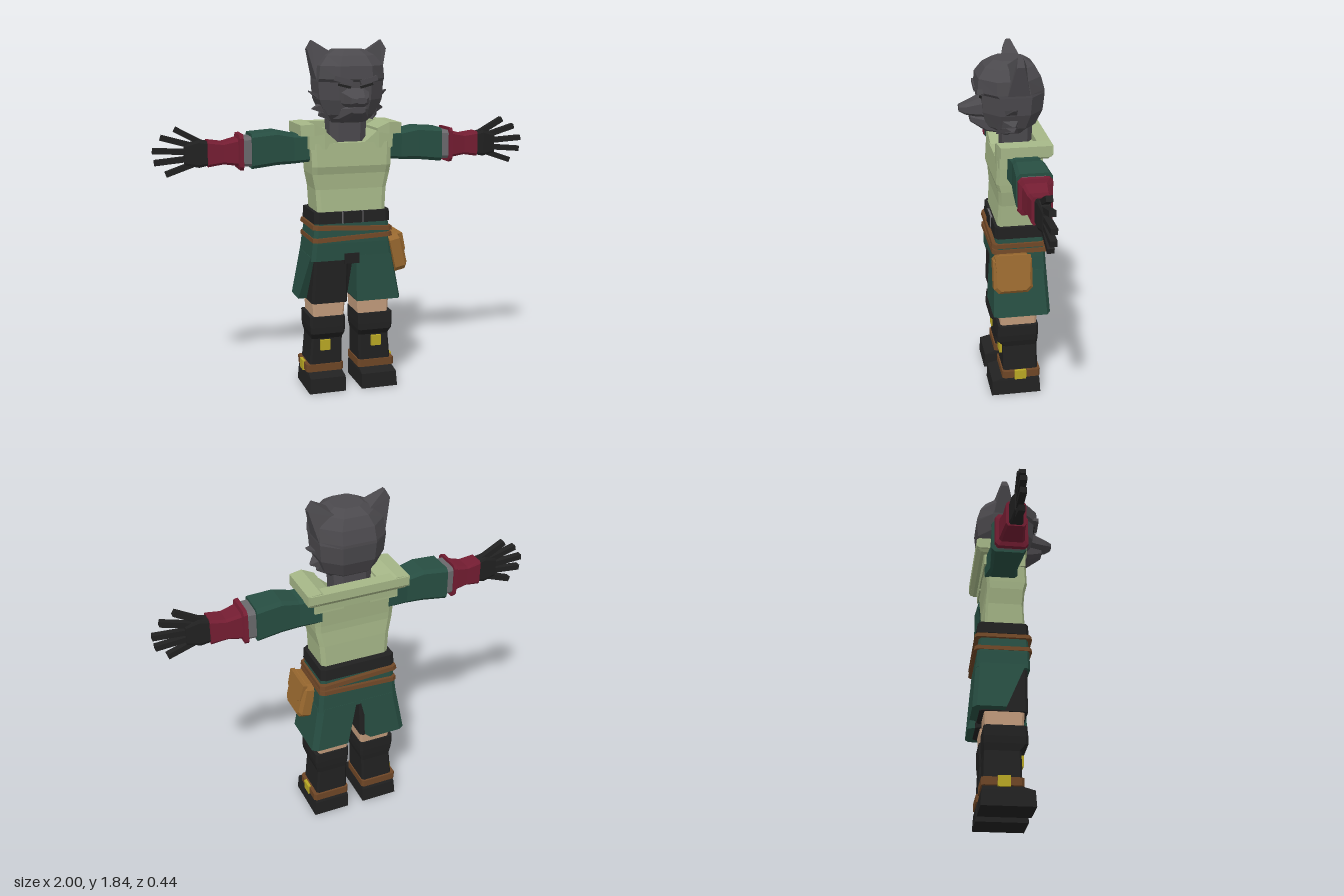
import * as THREE from 'three';

const mat = (name, color) => {
  const m = new THREE.MeshStandardMaterial({ color });
  m.name = name;
  return m;
};

export function createModel() {
  const fur = mat('charcoal fur', 0x4b494d), black = mat('black leather', 0x212121);
  const skin = mat('skin', 0xc49d7d), shirt = mat('pale green cloth', 0xa5b687);
  const green = mat('dark green cloth', 0x274e42), red = mat('maroon leather', 0x741d32);
  const brown = mat('brown strap', 0x6e4626), tan = mat('tan leather', 0x98682f);
  const gold = mat('gold', 0xb9a824), grey = mat('grey cloth', 0x6a696c);
  const root = new THREE.Group();

  const group = (name, parent = root) => {
    const g = new THREE.Group();
    g.name = name;
    parent.add(g);
    return g;
  };

  // Flat-faced skin over matching cross-sections, both ends closed; s = -1 mirrors in x
  function skinOver(name, material, sections, s = 1, parent = root) {
    const tris = [], n = sections[0].length;
    sections.forEach((a, k) => {
      const b = sections[k + 1];
      if (b) for (let i = 0; i < n; i++) {
        const j = (i + 1) % n;
        tris.push([a[i], a[j], b[j]], [a[i], b[j], b[i]]);
      }
    });
    const first = sections[0], last = sections[sections.length - 1];
    for (let i = 1; i < n - 1; i++) {
      tris.push([first[0], first[i + 1], first[i]], [last[0], last[i], last[i + 1]]);
    }
    // Outward winding follows from the sign of the enclosed volume
    const v = tris.map(t => t.map(p => new THREE.Vector3(p[0] * s, p[1], p[2])));
    const o = v[0][0].clone();
    const vol = v.reduce((sum, [a, b, c]) => sum + a.clone().sub(o).dot(b.clone().sub(o).cross(c.clone().sub(o))), 0);
    if (vol < 0) v.forEach(t => t.reverse());
    const geo = new THREE.BufferGeometry().setFromPoints(v.flat());
    geo.computeVertexNormals();
    const mesh = new THREE.Mesh(geo, material);
    mesh.name = name;
    parent.add(mesh);
    return mesh;
  }

  // Rows [t, u0, u1, v0, v1] along an axis, with corners cut by fraction c
  const place = {
    x: (t, u, v) => [t, u, v], // u = y, v = z
    y: (t, u, v) => [u, t, v], // u = x, v = z
    z: (t, u, v) => [u, v, t], // u = x, v = y
  };
  function loft(name, material, axis, rows, { c = 0, s = 1, parent = root } = {}) {
    const sections = rows.map(([t, u0, u1, v0, v1]) => {
      const du = (u1 - u0) / 2 * c, dv = (v1 - v0) / 2 * c;
      const pts = c
        ? [[u0 + du, v0], [u1 - du, v0], [u1, v0 + dv], [u1, v1 - dv], [u1 - du, v1], [u0 + du, v1], [u0, v1 - dv], [u0, v0 + dv]]
        : [[u0, v0], [u1, v0], [u1, v1], [u0, v1]];
      return pts.map(([u, v]) => place[axis](t, u, v));
    });
    return skinOver(name, material, sections, s, parent);
  }
  const block = (name, material, x0, x1, y0, y1, z0, z1, s = 1, parent = root) =>
    loft(name, material, 'y', [[y0, x0, x1, z0, z1], [y1, x0, x1, z0, z1]], { s, parent });

  // Head
  const head = group('head');
  loft('skull', fur, 'y', [
    [1.42, -.09, .09, -.10, .03], [1.465, -.135, .135, -.155, .09], [1.54, -.165, .165, -.188, .11],
    [1.63, -.172, .172, -.197, .115], [1.645, -.172, .172, -.196, .135], [1.71, -.165, .165, -.178, .13],
    [1.76, -.125, .125, -.15, .095], [1.79, -.075, .075, -.105, .05]], { c: .5, parent: head });
  loft('muzzle', fur, 'z', [[.06, -.095, .095, 1.5, 1.62], [.13, -.065, .065, 1.505, 1.595],
    [.19, -.045, .045, 1.515, 1.57], [.22, -.025, .025, 1.53, 1.56]], { c: .45, parent: head });
  loft('lowerJaw', fur, 'z', [[.0, -.1, .1, 1.42, 1.5], [.09, -.075, .075, 1.432, 1.51],
    [.165, -.035, .035, 1.478, 1.51]], { c: .4, parent: head });
  loft('neck', fur, 'y', [[1.3, -.095, .095, -.14, .01], [1.46, -.1, .1, -.14, .01]], { c: .4, parent: head });
  for (const s of [1, -1]) {
    skinOver('ear', fur, [
      [[.172, 1.64, 0], [.075, 1.765, 0], [.075, 1.755, -.11], [.172, 1.64, -.11]],
      [[.21, 1.79, -.035], [.185, 1.835, -.045], [.185, 1.835, -.07], [.21, 1.79, -.075]]], s, head);
    const eye = block('eye', black, -.034, .034, -.006, .006, -.003, .003, 1, head);
    eye.position.set(s * .058, 1.612, .117);
    eye.rotation.z = s * .25;
    const brow = block('brow', fur, -.045, .045, -.012, .012, -.02, .015, 1, head);
    brow.position.set(s * .065, 1.64, .125);
    brow.rotation.z = s * .25;
    // Cheek fur
    for (const [y, tx, ty] of [[1.53, .207, 1.58], [1.49, .188, 1.49], [1.465, .155, 1.455]]) {
      skinOver('cheekTuft', fur, [
        [[.11, y - .03, .05], [.14, y + .03, .04], [.14, y + .03, -.06], [.11, y - .03, -.06]],
        [[tx, ty - .003, -.02], [tx, ty + .003, -.02], [tx, ty + .003, -.035], [tx, ty - .003, -.035]]], s, head);
    }
  }

  // Shirt with open neck, shoulder flaps and a raised back collar
  const top = group('shirt');
  loft('torso', shirt, 'y', [
    [.93, -.18, .18, -.155, .055], [1.08, -.19, .19, -.15, .045], [1.16, -.207, .207, -.145, .05],
    [1.2, -.21, .21, -.147, .062], [1.32, -.215, .215, -.16, .055]], { c: .12, parent: top });
  loft('backYoke', shirt, 'y', [[1.3, -.215, .215, -.165, -.11], [1.38, -.215, .215, -.17, -.12]], { parent: top });
  loft('backCollar', shirt, 'y', [[1.345, -.25, .25, -.185, -.14], [1.37, -.265, .265, -.208, -.14],
    [1.415, -.26, .26, -.208, -.14]], { parent: top });
  for (const s of [1, -1]) {
    loft('shoulder', shirt, 'x', [[.07, 1.29, 1.32, -.165, .05], [.145, 1.29, 1.385, -.165, .058],
      [.222, 1.29, 1.385, -.165, .05]], { s, parent: top });
    loft('shoulderFlap', shirt, 'x', [[.135, 1.37, 1.39, -.19, .058], [.2, 1.36, 1.42, -.2, .062],
      [.268, 1.36, 1.415, -.2, .05]], { s, parent: top });
  }

  // Arms: sleeve, cuff, gauntlet and spread fingers
  for (const s of [1, -1]) {
    const arm = group(s > 0 ? 'leftArm' : 'rightArm');
    const opt = { c: .2, s, parent: arm };
    loft('sleeve', green, 'x', [[.18, 1.225, 1.365, -.16, .015], [.29, 1.215, 1.365, -.14, .0],
      [.38, 1.212, 1.385, -.145, .01], [.51, 1.198, 1.375, -.155, .018]], opt);
    loft('cuff', grey, 'x', [[.49, 1.21, 1.36, -.135, .005], [.56, 1.21, 1.36, -.135, .005]], opt);
    loft('gauntlet', red, 'x', [[.553, 1.192, 1.375, -.145, .02], [.572, 1.195, 1.372, -.143, .018],
      [.578, 1.215, 1.353, -.125, .002], [.65, 1.225, 1.335, -.115, -.008], [.728, 1.213, 1.347, -.108, -.012]], opt);
    loft('palm', black, 'x', [[.715, 1.222, 1.338, -.095, -.025], [.77, 1.21, 1.35, -.09, -.03],
      [.84, 1.225, 1.325, -.08, -.04]], opt);
    for (const [x0, y0, x1, y1] of [[.75, 1.33, .885, 1.405], [.8, 1.32, .955, 1.365],
      [.82, 1.29, .997, 1.3], [.82, 1.255, .99, 1.24], [.79, 1.23, .935, 1.18]]) {
      const len = Math.hypot(x1 - x0, y1 - y0), nx = -(y1 - y0) / len * .014, ny = (x1 - x0) / len * .014;
      skinOver('finger', black, [[x0, y0], [x1, y1]].map(([x, y]) => [
        [x + nx, y + ny, -.043], [x - nx, y - ny, -.043], [x - nx, y - ny, -.075], [x + nx, y + ny, -.075]]), s, arm);
    }
  }

  // Belt, buckle and slung straps
  const waist = group('waist');
  loft('belt', black, 'y', [[.905, -.205, .205, -.195, .07], [.965, -.202, .202, -.19, .067]], { c: .12, parent: waist });
  block('buckleFrame', grey, -.058, .058, .905, .966, .06, .073, 1, waist);
  block('bucklePlate', black, -.05, .05, .906, .967, .07, .077, 1, waist);
  for (const [y, tilt] of [[.878, -.05], [.828, .04]]) {
    const strap = loft('hipStrap', brown, 'y', [[-.011, -.215, .215, -.208, .085], [.011, -.212, .212, -.205, .082]],
      { c: .1, parent: waist });
    strap.position.y = y;
    strap.rotation.z = tilt;
  }

  // Shorts: full left leg, right leg cut away at the front, slit at the back
  const shorts = group('shorts');
  loft('hips', green, 'y', [[.71, -.222, .222, -.198, .073], [.8, -.212, .212, -.192, .072],
    [.92, -.195, .195, -.18, .06]], { c: .1, parent: shorts });
  skinOver('leftShortsLeg', green, [[.485, .265, .085, -.215, .065], [.73, .222, .073, -.198, .01]].map(
    ([y, x, zf, zb, slit]) => [[.018, y, zf], [x - .015, y, zf], [x, y, zf - .03], [x, y, zb + .02],
      [x - .03, y, zb], [slit, y, zb], [.025, y, -.14]]), 1, shorts);
  skinOver('rightShortsLeg', green, [[.485, .265, -.05, -.215, .065], [.73, .222, .05, -.198, .01]].map(
    ([y, x, zf, zb, slit]) => [[-.06, y, -.06], [-.19, y, zf - .01], [-x, y, zf], [-x, y, zb + .02],
      [-x + .03, y, zb], [-slit, y, zb], [-.03, y, -.14]]), 1, shorts);
  block('crotch', black, -.045, .035, .69, .745, -.17, .077, 1, shorts);

  // Legs and boots
  for (const s of [1, -1]) {
    const leg = group(s > 0 ? 'leftLeg' : 'rightLeg');
    const opt = { c: .12, s, parent: leg };
    loft('underShorts', black, 'y', [[.48, .024, .218, -.178, .06], [.72, .02, .2, -.17, .06]], opt);
    loft('knee', skin, 'y', [[.39, .04, .205, -.148, .04], [.5, .032, .21, -.155, .045]], opt);
    loft('bootShaft', black, 'y', [[.07, .05, .23, -.158, .03], [.28, .045, .212, -.152, .028],
      [.315, .038, .222, -.155, .06], [.35, .036, .226, -.157, .06], [.405, .036, .226, -.157, .055]], opt);
    loft('foot', black, 'y', [[0, .045, .243, -.17, .095], [.08, .045, .237, -.165, .09],
      [.098, .048, .233, -.16, .03]], { ...opt, c: 0 });
    loft('ankleStrap', brown, 'y', [[.1, .042, .243, -.167, .037], [.14, .042, .243, -.167, .037]], opt);
    block('ankleBuckle', gold, .235, .25, .093, .146, -.09, -.028, s, leg);
    block('shinBadge', gold, .114, .168, .218, .274, .02, .043, s, leg);
  }

  // Hip pouch, leaning outward
  const pouch = group('pouch');
  const pOpt = { c: .25, parent: pouch };
  loft('pouchBody', tan, 'x', [[-.035, -.1, .1, -.1, .1], [.02, -.1, .1, -.1, .1], [.036, -.085, .085, -.085, .085]], pOpt);
  skinOver('pouchFlap', tan, [.02, .043].map(x => [
    [x, .098, .092], [x, .098, -.092], [x, .01, -.085], [x, -.025, -.04], [x, -.025, .04], [x, .01, .085]]), 1, pouch);
  pouch.position.set(.248, .733, -.012);
  pouch.rotation.z = .22;

  return root;
}
